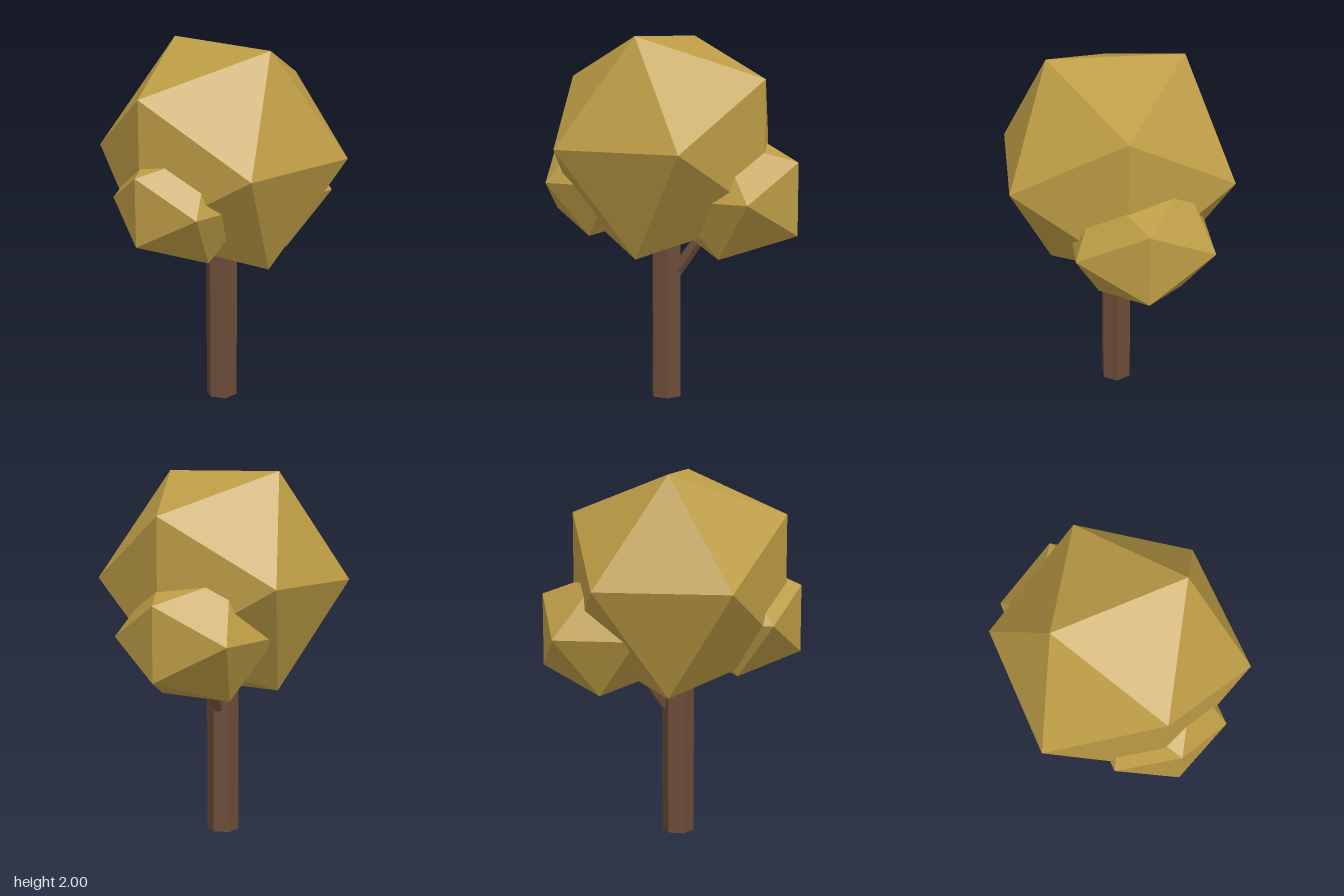
import * as THREE from 'three';

export function createModel() {
  const tree = new THREE.Group();
  tree.name = 'tree';

  const foliage = new THREE.MeshStandardMaterial({ color: 0xbd9c45, flatShading: true });
  foliage.name = 'golden leaves';
  const bark = new THREE.MeshStandardMaterial({ color: 0x6b4c37, flatShading: true });
  bark.name = 'brown bark';

  const add = (name, geometry, material) => {
    const mesh = new THREE.Mesh(geometry, material);
    mesh.name = name;
    tree.add(mesh);
    return mesh;
  };

  // Leaf clumps: icosahedrons with a ridge along z on top, some slightly squashed
  const clump = (name, radius, squash, x, y, z) => {
    const geometry = new THREE.IcosahedronGeometry(radius, 0);
    geometry.rotateY(Math.PI / 2).scale(1, squash, 1);
    add(name, geometry, foliage).position.set(x, y, z);
  };
  clump('mainCrown', 0.69, 1, -0.04, 1.414, 0);
  clump('leftClump', 0.425, 0.885, 0.34, 1.138, -0.09);
  clump('rightClump', 0.379, 0.913, -0.383, 1.21, 0.058);

  // Six-sided limb between two points
  const limb = (name, radius, from, to) => {
    const a = new THREE.Vector3(...from);
    const direction = new THREE.Vector3(...to).sub(a);
    const length = direction.length();
    const geometry = new THREE.CylinderGeometry(radius, radius, length, 6, 1, false, Math.PI / 6);
    const mesh = add(name, geometry, bark);
    mesh.quaternion.setFromUnitVectors(new THREE.Vector3(0, 1, 0), direction.clone().normalize());
    mesh.position.copy(a).addScaledVector(direction, 0.5);
  };
  limb('trunk', 0.088, [-0.038, 0, 0], [-0.038, 1.0, 0]);
  limb('branch', 0.035, [-0.03, 0.635, 0], [0.27, 1.085, -0.07]);

  return tree;
}
